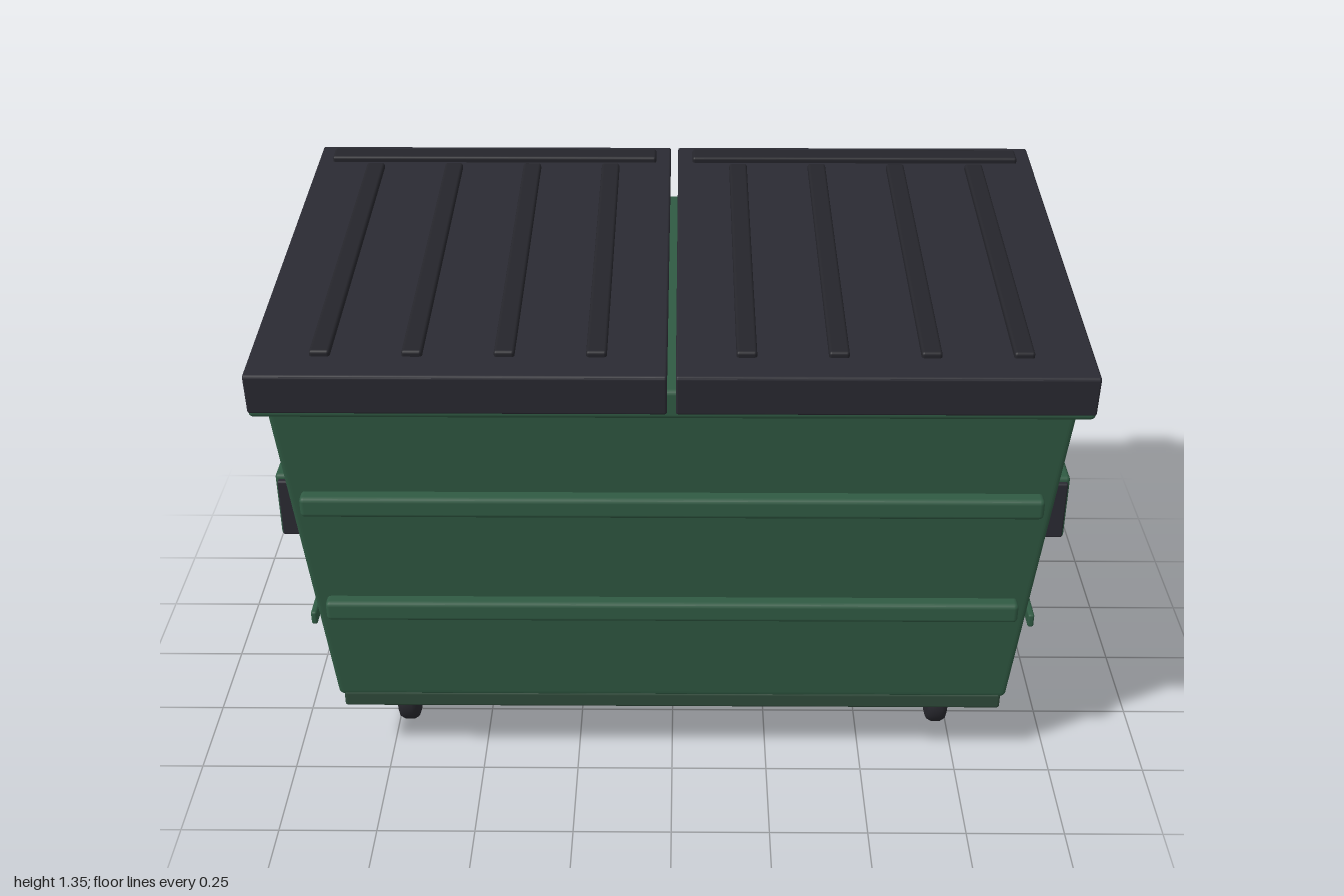
import * as THREE from 'three';
import { RoundedBoxGeometry } from 'three/addons/geometries/RoundedBoxGeometry.js';

const mat = (name, color) => {
  const m = new THREE.MeshStandardMaterial({ color });
  m.name = name;
  return m;
};

export function createModel() {
  const model = new THREE.Group();
  model.name = 'dumpster';
  const green = mat('green paint', 0x305a43);
  const darkGreen = mat('dark green base', 0x2f4a3a);
  const lidBlack = mat('lid plastic', 0x2a2a32);
  const ribBlack = mat('lid rib plastic', 0x25252b);
  const rubber = mat('rubber', 0x27272d);
  const steel = mat('steel', 0x8a8a8a);

  const add = (parent, name, geo, material, x = 0, y = 0, z = 0) => {
    const mesh = new THREE.Mesh(geo, material);
    mesh.name = name;
    mesh.position.set(x, y, z);
    parent.add(mesh);
    return mesh;
  };
  // Softly bevelled box given by its min and max on each axis
  const box = (parent, name, material, [x0, x1], [y0, y1], [z0, z1], r = 0.008) =>
    add(parent, name, new RoundedBoxGeometry(x1 - x0, y1 - y0, z1 - z0, 2, r), material,
      (x0 + x1) / 2, (y0 + y1) / 2, (z0 + z1) / 2);

  // Tapered bin body: a bevelled box whose section grows with height
  const y0 = 0.205, y1 = 1.15;
  const bodyGeo = new RoundedBoxGeometry(2, y1 - y0, 2, 3, 0.015);
  const p = bodyGeo.attributes.position;
  for (let i = 0; i < p.count; i++) {
    const t = p.getY(i) / (y1 - y0) + 0.5;
    const front = 0.453 + 0.1 * t, back = -0.5 - 0.036 * t;
    p.setX(i, p.getX(i) * (0.873 + 0.079 * t));
    p.setZ(i, (front + back) / 2 + p.getZ(i) * (front - back) / 2);
  }
  bodyGeo.computeVertexNormals();
  add(model, 'body', bodyGeo, green, 0, (y0 + y1) / 2, 0);
  box(model, 'base', darkGreen, [-0.862, 0.862], [0.168, 0.214], [-0.49, 0.454]);
  box(model, 'rim', green, [-0.982, 0.982], [1.115, 1.19], [-0.575, 0.593], 0.012);

  // Horizontal stiffeners on the front and back walls
  for (const [w, lo, hi, zf, zb] of [[0.897, 0.82, 0.875, 0.56, -0.56], [0.87, 0.49, 0.545, 0.523, -0.547]]) {
    box(model, 'frontStiffener', green, [-w, w], [lo, hi], [zf - 0.06, zf], 0.012);
    box(model, 'backStiffener', green, [-w, w], [lo, hi], [zb, zb + 0.06], 0.012);
  }

  // Fork pockets with dark open ends, and a thin strip under each
  for (const s of [-1, 1]) {
    const span = (a, b) => (s > 0 ? [a, b] : [-b, -a]);
    box(model, 'forkPocket', green, span(0.9, 0.997), [0.642, 0.822], [-0.374, 0.36], 0.01);
    box(model, 'pocketOpening', lidBlack, span(0.91, 0.99), [0.652, 0.81], [-0.387, 0.373], 0.005);
    box(model, 'sideStrip', green, span(0.922, 0.938), [0.394, 0.432], [-0.417, 0.403], 0.006);
  }

  // Two sloping lids
  for (const s of [-1, 1]) {
    const lid = new THREE.Group();
    lid.name = s > 0 ? 'leftLid' : 'rightLid';
    lid.position.set(s * 0.495, 1.268, 0.02);
    lid.rotation.x = 0.085;
    model.add(lid);
    box(lid, 'lidPanel', lidBlack, [-0.485, 0.485], [-0.018, 0.018], [-0.592, 0.592], 0.006);
    box(lid, 'lidLip', lidBlack, [-0.485, 0.485], [-0.085, 0.016], [0.568, 0.593], 0.006);
    for (let i = 0; i < 4; i++) {
      const x = (i - 1.5) * 0.214;
      box(lid, 'lidRib', ribBlack, [x - 0.024, x + 0.024], [0.008, 0.032], [-0.467, 0.507], 0.007);
    }
    box(lid, 'lidCrossRib', ribBlack, [-0.445, 0.445], [0.008, 0.033], [-0.552, -0.495], 0.007);
  }

  // Hinge barrels along the back
  for (const x of [-0.796, -0.193, 0.193, 0.796]) {
    const hinge = add(model, 'hinge', new THREE.CylinderGeometry(0.024, 0.024, 0.14, 16), steel, x, 1.28, -0.588);
    hinge.rotation.z = Math.PI / 2;
  }

  // Swivel casters, wheel trailing behind the mount
  const tyreProfile = [[0.02, -0.024], [0.055, -0.028], [0.066, -0.024], [0.073, -0.012],
    [0.073, 0.012], [0.066, 0.024], [0.055, 0.028], [0.02, 0.024]].map(([r, h]) => new THREE.Vector2(r, h));
  const tyreGeo = new THREE.LatheGeometry(tyreProfile, 20);
  for (const x of [-0.72, 0.72]) {
    for (const z of [0.27, -0.367]) {
      const caster = new THREE.Group();
      caster.name = 'caster';
      caster.position.set(x, 0, z);
      model.add(caster);
      box(caster, 'mountPlate', steel, [-0.07, 0.07], [0.16, 0.17], [-0.04, 0.1], 0.003);
      add(caster, 'swivel', new THREE.CylinderGeometry(0.026, 0.026, 0.03, 16), steel, 0, 0.152, 0.03);
      box(caster, 'forkTop', steel, [-0.04, 0.04], [0.138, 0.147], [-0.026, 0.06], 0.002);
      for (const s of [-1, 1])
        box(caster, 'forkSide', steel, [s * 0.036 - 0.005, s * 0.036 + 0.005], [0.075, 0.145], [-0.026, 0.06], 0.002);
      add(caster, 'tyre', tyreGeo, rubber, 0, 0.073, 0).rotation.z = Math.PI / 2;
      add(caster, 'hub', new THREE.CylinderGeometry(0.03, 0.03, 0.064, 16), steel, 0, 0.073, 0).rotation.z = Math.PI / 2;
    }
  }
  return model;
}
